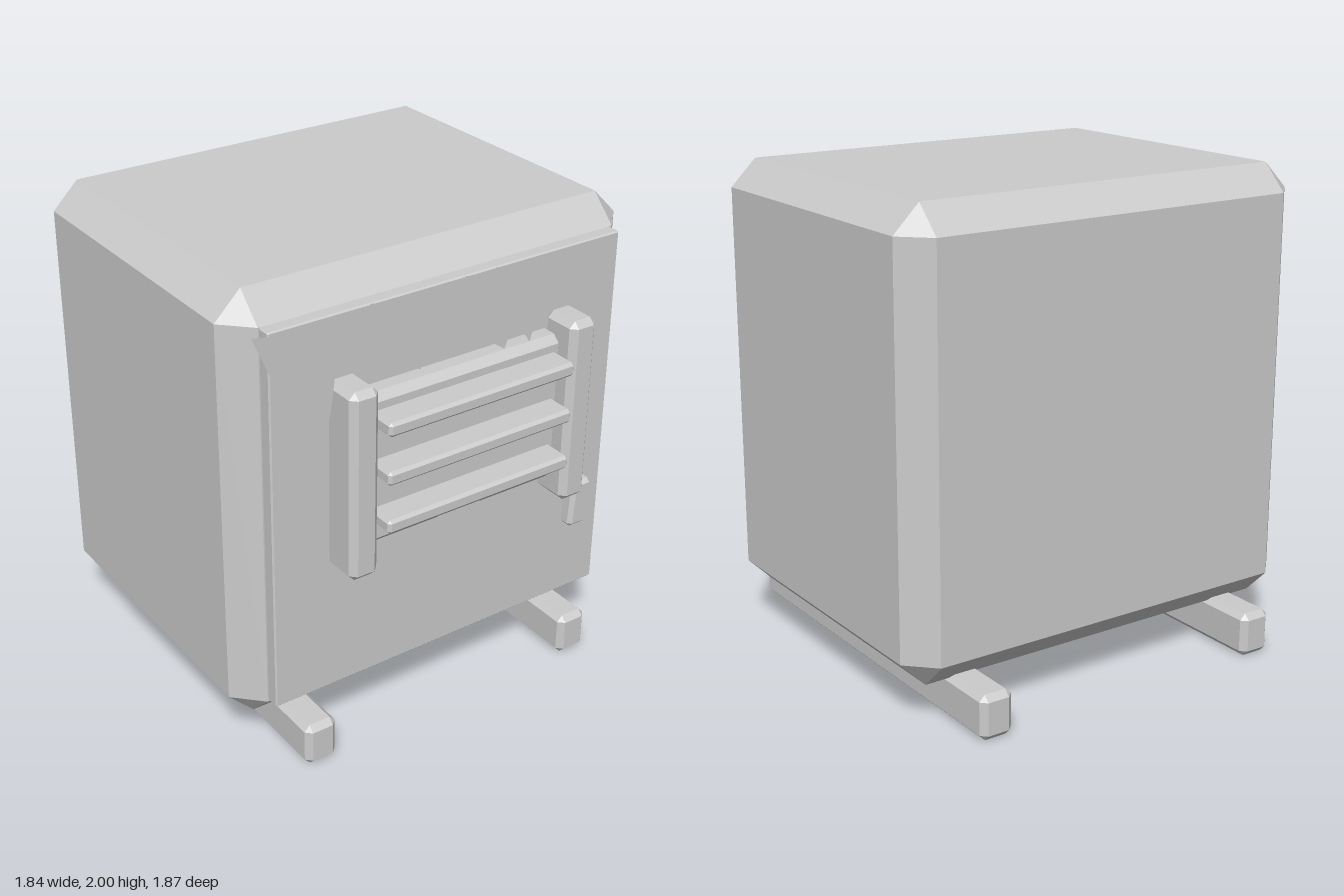
import * as THREE from 'three';
import { ConvexGeometry } from 'three/addons/geometries/ConvexGeometry.js';

const grey = new THREE.MeshStandardMaterial({ color: 0xcccccc, flatShading: true });
const sheet = new THREE.MeshStandardMaterial({ color: 0xcccccc, flatShading: true, side: THREE.DoubleSide });

// Box between two corners with every edge cut by a bevel c
function bevelBox(name, min, max, c) {
  const mid = min.map((v, i) => (v + max[i]) / 2);
  const half = min.map((v, i) => (max[i] - v) / 2);
  const points = [];
  for (const sx of [-1, 1]) for (const sy of [-1, 1]) for (const sz of [-1, 1]) {
    for (let axis = 0; axis < 3; axis++) {
      const [x, y, z] = half.map((h, i) => (i === axis ? h : h - c));
      points.push(new THREE.Vector3(sx * x, sy * y, sz * z));
    }
  }
  const mesh = new THREE.Mesh(new ConvexGeometry(points), grey);
  mesh.position.set(...mid);
  mesh.name = name;
  return mesh;
}

// Flat cut-out standing just ahead of the front panel
function cutOut(name, outline) {
  const shape = new THREE.Shape(outline.map(([x, y]) => new THREE.Vector2(x, y)));
  const mesh = new THREE.Mesh(new THREE.ShapeGeometry(shape), sheet);
  mesh.position.z = 0.797;
  mesh.name = name;
  return mesh;
}

export function createModel() {
  const model = new THREE.Group();
  model.name = 'strongbox';

  // Main body and front panel
  model.add(bevelBox('body', [-0.92, 0.17, -0.8], [0.92, 2, 0.67], 0.11));
  model.add(bevelBox('frontPanel', [-0.805, 0.285, 0.6], [0.8, 1.89, 0.725], 0.006));

  // Skids and upright grille posts, one per side
  for (const [side, s] of [['left', 1], ['right', -1]]) {
    const skidX = s * 0.645, postX = s * 0.506;
    model.add(bevelBox(side + 'Skid', [skidX - 0.071, 0, -0.935], [skidX + 0.071, 0.186, 0.808], 0.025));
    model.add(bevelBox(side + 'Post', [postX - 0.063, 0.86, 0.72], [postX + 0.063, 1.648, 0.895], 0.026));
  }

  // Grille plate with three horizontal bars
  model.add(bevelBox('grillePlate', [-0.47, 0.935, 0.7], [0.47, 1.572, 0.817], 0.03));
  for (const y of [1.075, 1.28, 1.482]) {
    model.add(bevelBox('grilleBar', [-0.432, y - 0.029, 0.78], [0.43, y + 0.029, 0.932], 0.012));
  }

  // Handle, leaning slightly outwards at the top
  const handle = bevelBox('handle', [0.538, 0.69, 0.785], [0.632, 0.895, 0.855], 0.016);
  const p = handle.geometry.attributes.position;
  for (let i = 0; i < p.count; i++) p.setX(i, p.getX(i) + p.getY(i) * 0.08);
  handle.geometry.computeVertexNormals();
  model.add(handle);

  // Jagged flat shapes across the top, and the triangle below the grille
  model.add(cutOut('rightSpikes', [[-0.913, 1.93], [-0.79, 1.645], [-0.7, 1.55], [-0.664, 1.683],
    [-0.6, 1.524], [-0.553, 1.863], [-0.717, 1.926], [-0.703, 1.885]]));
  model.add(cutOut('middleSpikes', [[-0.431, 1.93], [-0.304, 1.677], [-0.204, 1.608],
    [-0.093, 1.863], [-0.262, 1.926], [-0.25, 1.89]]));
  model.add(cutOut('leftSpikes', [[-0.013, 1.93], [0.098, 1.645], [0.188, 1.582], [0.235, 1.7],
    [0.31, 1.576], [0.389, 1.863], [0.13, 1.93], [0.145, 1.89]]));
  model.add(cutOut('lowerTriangle', [[-0.292, 0.603], [0.288, 0.603], [0, 1.13]]));

  return model;
}
